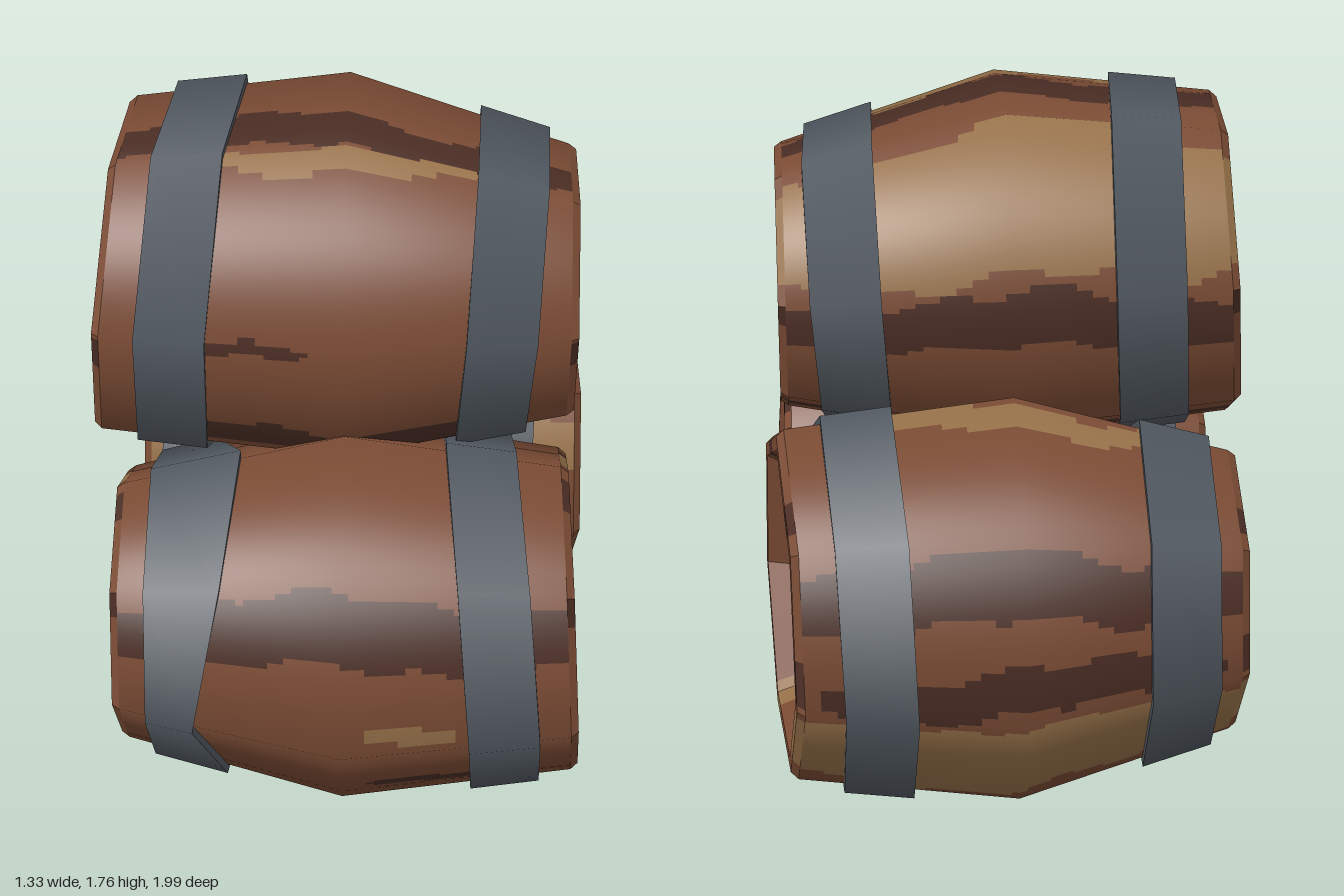
import * as THREE from 'three';

const BROWN = 0, DARK = 1, TAN = 2;
const SIDES = 7, COLS = SIDES * 24, STEP = 2 * Math.PI / SIDES;
const lerp = THREE.MathUtils.lerp;

// A barrel is a seven-sided belly at (z, y), turned by a share of one side, its flanks lowered by sag.
// Ends have x, scale, lean and drop. Hoops sway in x and squeeze in width round the barrel.
// Head planks are [upper limit, tone] measured across the head.
const BARRELS = [
  {
    name: 'frontBarrel', z: .47, y: .495, radius: .54, turn: 0, sag: 0,
    left: { x: -.605, scale: .71 }, right: { x: .62, scale: .84, leanY: -.06 },
    leftHoop: { x: -.42, sway: -.03, phase: 1.8, waves: 2, squeeze: .03 },
    rightHoop: { x: .4, sway: .045, phase: 2.6, waves: 1 },
    plankAngle: 1.74,
    planks: [[-.15, BROWN], [.03, TAN], [.13, DARK], [.2, BROWN], [.32, DARK], [9, BROWN]],
  },
  {
    name: 'backBarrel', z: -.455, y: .517, radius: .56, turn: -.03, sag: 0,
    left: { x: -.59, scale: .7 }, right: { x: .625, scale: .87, leanZ: .08 },
    leftHoop: { x: -.43, sway: .015, phase: 5, waves: 1 },
    rightHoop: { x: .4, sway: .03, phase: 1, waves: 1 },
    plankAngle: 0,
    planks: [[-.235, BROWN], [-.185, DARK], [.055, TAN], [.12, DARK], [9, BROWN]],
  },
  {
    name: 'topBarrel', z: .03, y: 1.29, radius: .53, turn: -.5, sag: .13,
    left: { x: -.63, scale: .87, leanY: .06, leanZ: -.06 }, right: { x: .61, scale: .71, drop: .035 },
    leftHoop: { x: -.41, sway: -.05, phase: 2, waves: 1 },
    rightHoop: { x: .415, sway: .03, phase: -.45, waves: 1 },
    plankAngle: 0,
    planks: [[-.19, BROWN], [-.05, DARK], [.16, TAN], [.26, DARK], [9, BROWN]],
  },
];

// Painted streaks along the staves: [corners round from the top, half width, tone, x]
const GRAIN = {
  frontBarrel: [[1.27, .22, DARK], [1.9, .05, TAN, .18], [2.72, .07, DARK, .24], [3.5, .12, DARK],
    [4.6, .14, DARK], [5.5, .18, TAN]],
  backBarrel: [[.2, .16, DARK], [1.4, .2, TAN], [2.7, .18, DARK], [4.5, .43, TAN], [5.15, .12, DARK],
    [5.72, .19, DARK], [6.9, .09, TAN]],
  topBarrel: [[.7, .2, DARK], [.99, .08, TAN], [2.08, .06, DARK, -.25], [2.9, .1, DARK], [4.45, .2, DARK],
    [5.8, .2, DARK], [6.53, .43, TAN]],
};

// Painted patches round the rims: [corners round, half width, tone]
const RIM_PATCHES = {
  frontBarrel: [[6.5, .33, TAN], [6.25, .08, DARK], [.2, .12, DARK], [3.25, .1, DARK], [1.1, .1, DARK]],
  backBarrel: [[4.55, .35, TAN], [3.05, .15, TAN], [.55, .15, DARK], [5.2, .15, DARK], [6.3, .12, DARK]],
  topBarrel: [[6.5, .35, TAN], [5.9, .12, DARK], [2.2, .15, DARK], [4.6, .12, DARK]],
};

// Surface from rows of points wrapped round the barrel; tone(u, point) picks a colour group.
function wrapSurface(rows, cols, pointAt, tone, normalAt) {
  const pos = [], nor = [], buckets = [[], [], []];
  for (let i = 0; i < rows; i++) for (let j = 0; j < cols; j++) {
    const u = j / cols * SIDES;
    pos.push(...pointAt(i, u));
    if (normalAt) nor.push(...normalAt(i, u));
  }
  for (let i = 0; i < rows - 1; i++) for (let j = 0; j < cols; j++) {
    const a = i * cols + j, b = i * cols + (j + 1) % cols, c = b + cols, d = a + cols;
    const mid = [0, 1, 2].map(k => (pos[a * 3 + k] + pos[c * 3 + k]) / 2);
    buckets[tone((j + .5) / cols * SIDES, mid)].push(a, b, c, a, c, d);
  }
  let geo = new THREE.BufferGeometry();
  geo.setAttribute('position', new THREE.Float32BufferAttribute(pos, 3));
  geo.setIndex(buckets.flat());
  let start = 0;
  buckets.forEach((list, k) => { if (list.length) geo.addGroup(start, list.length, k); start += list.length; });
  if (normalAt) geo.setAttribute('normal', new THREE.Float32BufferAttribute(nor, 3));
  else { geo = geo.toNonIndexed(); geo.computeVertexNormals(); }
  return geo;
}

function buildBarrel(spec, wood, steel, seed) {
  const group = new THREE.Group();
  group.name = spec.name;
  const add = (name, geo, mat) => {
    const mesh = new THREE.Mesh(geo, mat);
    mesh.name = name;
    group.add(mesh);
  };

  // direction from the axis, u corners round: 1 long at corners, straight between them
  const cornerAngle = k => {
    const a = (k + spec.turn) * STEP;
    return a + spec.sag * Math.sin(a) ** 7;
  };
  const outline = u => {
    const k = Math.floor(u), a = cornerAngle(k), b = cornerAngle(k + 1);
    return [lerp(Math.sin(a), Math.sin(b), u - k), lerp(Math.cos(a), Math.cos(b), u - k)];
  };
  // t runs 0 at the belly to 1 at an end; shrink narrows the ring, inset sinks it into the end
  const endPoint = (end, t, u, shrink = 1, inset = 0) => {
    const [dz, dy] = outline(u), r = spec.radius * lerp(1, end.scale, t) * shrink;
    const x = end.x - Math.sign(end.x) * inset + ((end.leanY ?? 0) * dy + (end.leanZ ?? 0) * dz) * r;
    return [x * t, spec.y - (end.drop ?? 0) * t + dy * r, spec.z + dz * r];
  };
  // rounded shading across the corners, sloping by the taper at t
  const roundNormal = (end, t, u) => {
    const [dz, dy] = outline(u);
    return new THREE.Vector3(Math.sign(end.x) * (1 - end.scale) * .8 * t, dy, dz).normalize().toArray();
  };

  // staves with painted grain
  const ROWS = 57;
  const along = i => i / (ROWS - 1) * 2 - 1;
  const endAt = i => along(i) < 0 ? spec.left : spec.right;
  const staveTone = (u, [x]) => {
    let tone = BROWN;
    for (const [centre, half, colour, shift = 0] of GRAIN[spec.name]) {
      const q = (x - shift) / Math.min(.8, (shift ? 2.5 : 4.5) * half);
      if (Math.abs(q) > 1) continue;
      const wobble = Math.min(half, .12) * (.5 * Math.sin(7 * x + centre * 9) + .25 * Math.sin(21 * x + centre * 5));
      if (Math.abs(u - centre - wobble) < half * Math.sqrt(1 - q ** 4)) tone = colour;
    }
    return tone;
  };
  add('staves', wrapSurface(ROWS, COLS,
    (i, u) => endPoint(endAt(i), Math.abs(along(i)), u, 1, .02), staveTone,
    (i, u) => roundNormal(endAt(i), Math.abs(along(i)), u)), wood);

  // rims and recessed plank heads: [shrink, inset] profiles running inwards
  const rim = [[1, .02], [.96, 0], [.88, 0], [.81, .06]];
  const head = Array.from({ length: 26 }, (_, i) => [lerp(.81, .002, i / 25), .06]);
  const rimTone = u => {
    const patch = RIM_PATCHES[spec.name].findLast(([centre, half]) => Math.abs(u - centre) < half);
    return patch ? patch[2] : BROWN;
  };
  const ca = Math.cos(spec.plankAngle), sa = Math.sin(spec.plankAngle);
  const headTone = (u, [, y, z]) => {
    const h = spec.z - z, v = y - spec.y, across = h * ca + v * sa, run = v * ca - h * sa;
    const wavy = across + .015 * Math.sin(run * 9 + seed) + .006 * Math.sin(run * 31 + seed);
    return spec.planks.find(([limit]) => wavy < limit)[1];
  };
  for (const side of ['left', 'right']) {
    const end = spec[side];
    const addProfile = (name, profile, tone) => {
      const rows = side === 'right' ? profile : [...profile].reverse();
      add(side + name, wrapSurface(rows.length, COLS, (i, u) => endPoint(end, 1, u, ...rows[i]), tone), wood);
    };
    addProfile('Rim', rim, rimTone);
    addProfile('Head', head, headTone);

    // crooked iron hoop with a flat band and two edges: section is [side, lift]
    const hoop = spec[side + 'Hoop'];
    const section = [[-1, -.01], [-1, .022], [1, .022], [1, -.01]];
    const hoopPoint = (i, u) => {
      const [edge, lift] = section[i], [dz, dy] = outline(u);
      const wave = Math.cos(hoop.waves * ((u + spec.turn) * STEP - hoop.phase));
      const x = hoop.x + hoop.sway * wave + edge * (.093 - (hoop.squeeze ?? 0) * wave);
      const [, y, z] = endPoint(end, x / end.x, u);
      return [x, y + dy * lift, z + dz * lift];
    };
    ['HoopLeftEdge', 'HoopBand', 'HoopRightEdge'].forEach((name, row) => {
      const normals = name === 'HoopBand' ? (i, u) => roundNormal(end, 1, u) : undefined;
      add(side + name, wrapSurface(2, SIDES, (i, u) => hoopPoint(i + row, u), () => 0, normals), [steel]);
    });
  }
  return group;
}

export function createModel() {
  const material = (name, color) => {
    const m = new THREE.MeshStandardMaterial({ color });
    m.name = name;
    return m;
  };
  const wood = [material('brownWood', 0x7a4b34), material('darkWood', 0x4a2d24), material('tanWood', 0x967149)];
  const steel = material('hoopSteel', 0x50575f);
  const model = new THREE.Group();
  model.name = 'barrelStack';
  BARRELS.forEach((spec, i) => model.add(buildBarrel(spec, wood, steel, i + 1)));
  return model;
}
